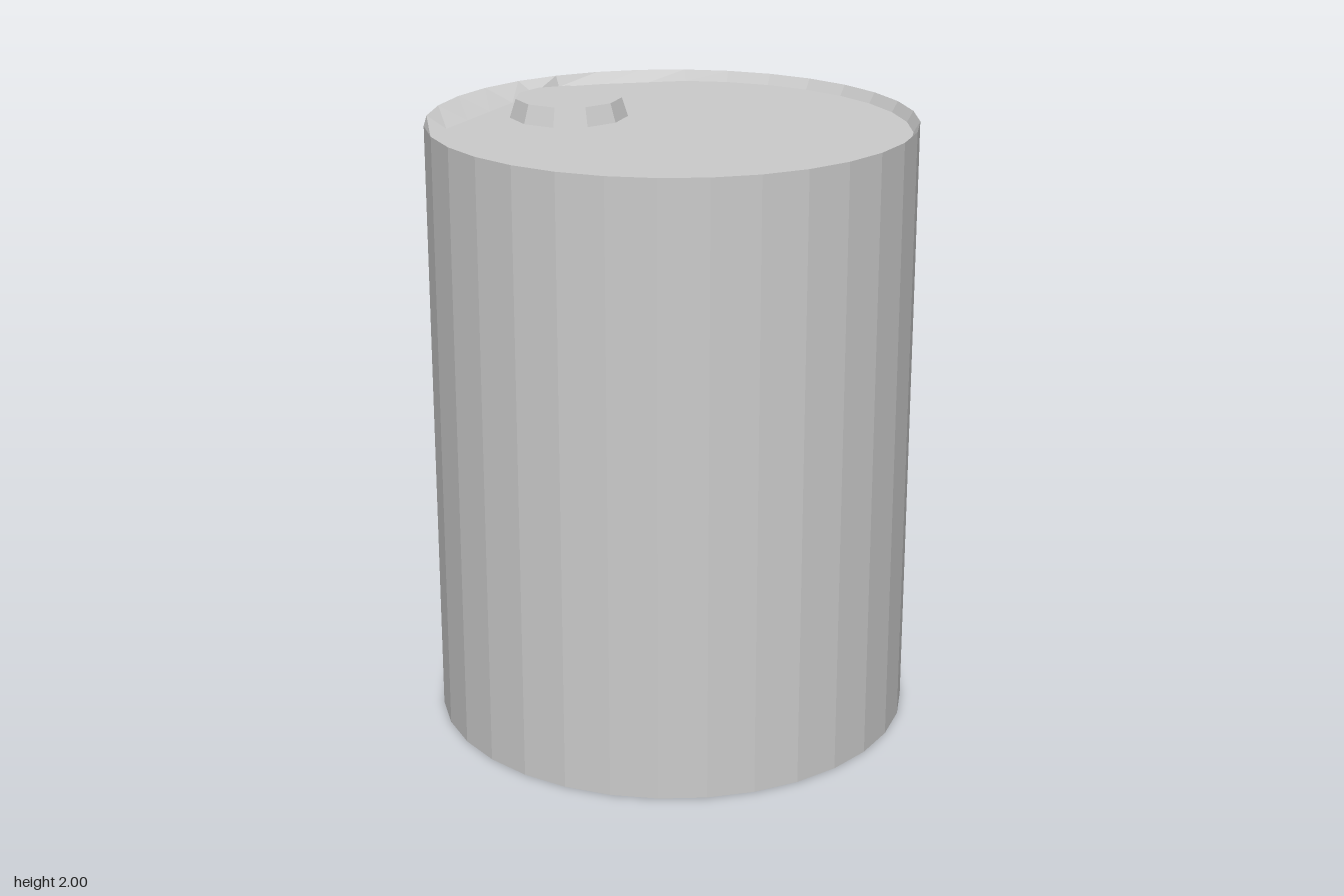
import * as THREE from 'three';

const SIDES = 32, RADIUS = 0.775, RIM_Y = 1.975, FLOOR_Y = 1.94;

function mesh(name, geometry) {
  const material = new THREE.MeshStandardMaterial({ color: 0xcccccc, flatShading: true });
  const m = new THREE.Mesh(geometry, material);
  m.name = name;
  return m;
}

// Point on the rim circle, kept inside the two straight dents on the right side
function lidPoint(i) {
  const a = (i / SIDES) * Math.PI * 2;
  const z = Math.cos(a) * 0.755;
  const x = Math.max(Math.sin(a) * 0.755, -0.71 + 0.2075 * (z + 0.25), -0.65 - 0.917 * (z + 0.37));
  return [x, FLOOR_Y, z];
}

function rimPoint(i) {
  const a = (i / SIDES) * Math.PI * 2;
  return [Math.sin(a) * RADIUS, RIM_Y, Math.cos(a) * RADIUS];
}

// Sloping inner rim and sunken floor of the lid
function lidGeometry() {
  const p = [];
  for (let i = 0; i < SIDES; i++) {
    const a = rimPoint(i), b = rimPoint(i + 1), c = lidPoint(i), d = lidPoint(i + 1);
    p.push(...a, ...b, ...d, ...a, ...d, ...c);
    p.push(0, FLOOR_Y, 0, ...c, ...d);
  }
  const g = new THREE.BufferGeometry();
  g.setAttribute('position', new THREE.Float32BufferAttribute(p, 3));
  g.computeVertexNormals();
  return g;
}

export function createModel() {
  const model = new THREE.Group();
  model.name = 'drum';

  // Faceted wall, open at both ends
  const wall = mesh('drumWall', new THREE.CylinderGeometry(RADIUS, RADIUS, RIM_Y, SIDES, 1, true));
  wall.position.y = RIM_Y / 2;

  // Flat underside
  const bottom = mesh('drumBottom', new THREE.CircleGeometry(RADIUS, SIDES));
  bottom.rotation.x = Math.PI / 2;

  const lid = mesh('drumLid', lidGeometry());

  // Tapered filler cap, set off centre
  const cap = mesh('fillerCap', new THREE.CylinderGeometry(0.172, 0.195, 2 - FLOOR_Y + 0.01, 11));
  cap.position.set(-0.392, (2 + FLOOR_Y - 0.01) / 2, 0.032);
  cap.rotation.y = Math.PI / 2;

  model.add(wall, bottom, lid, cap);
  return model;
}
